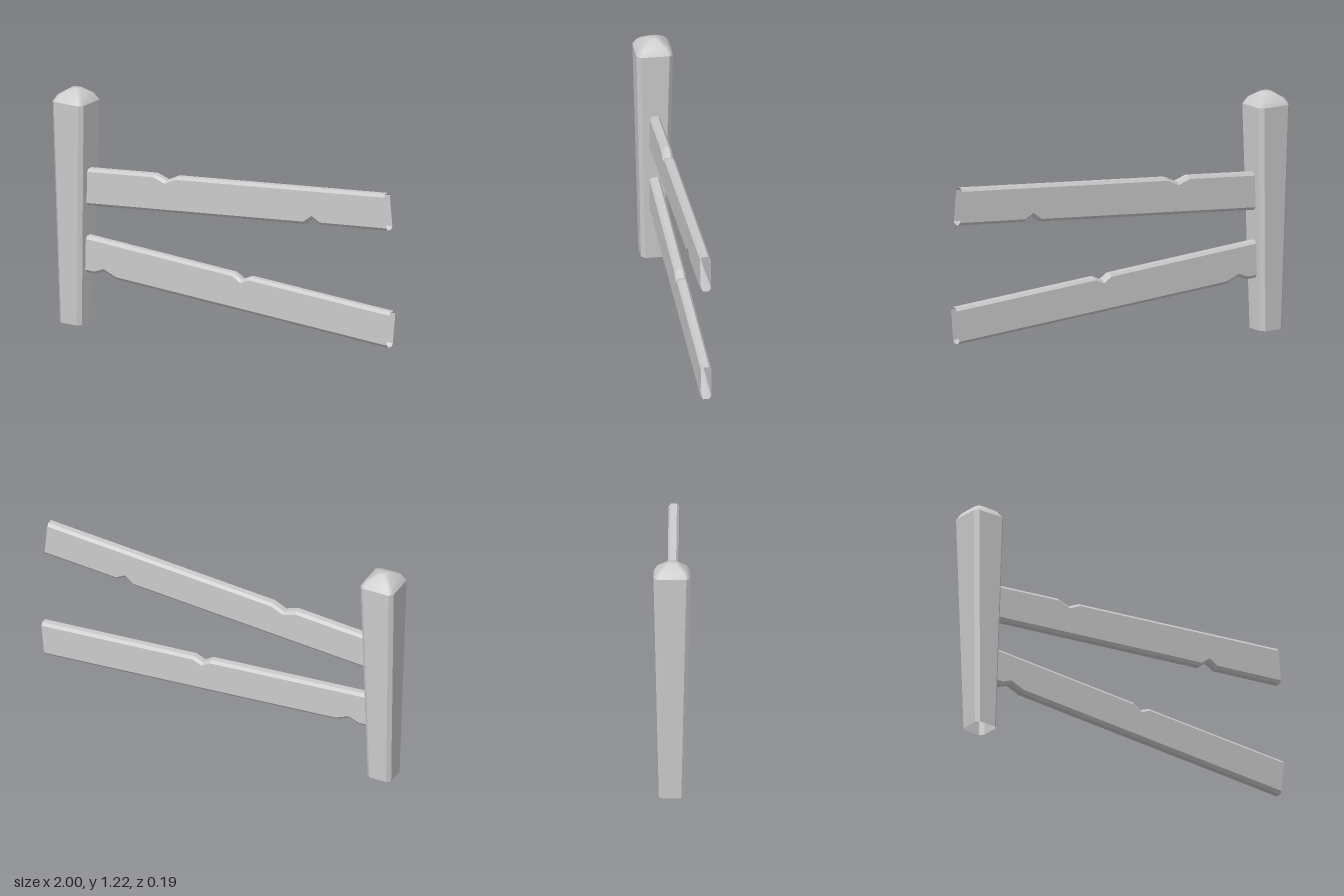
import * as THREE from 'three';

const flat = new THREE.MeshStandardMaterial({ color: 0xcccccc, flatShading: true, side: THREE.DoubleSide });
const smooth = new THREE.MeshStandardMaterial({ color: 0xcccccc, side: THREE.DoubleSide });

// Skin a list of closed rings, leaving both ends open
function loft(rings) {
  const n = rings[0].length, index = [];
  for (let i = 0; i < rings.length - 1; i++) {
    for (let j = 0; j < n; j++) {
      const a = i * n + j, b = i * n + (j + 1) % n;
      index.push(a, a + n, b, b, a + n, b + n);
    }
  }
  const geometry = new THREE.BufferGeometry();
  geometry.setAttribute('position', new THREE.Float32BufferAttribute(rings.flat(2), 3));
  geometry.setIndex(index);
  geometry.computeVertexNormals();
  return geometry;
}

// Square ring with cut corners: h is the half width, f the half width of each flat
function postRing(y, h, f) {
  return [[h, -f], [h, f], [f, h], [-f, h], [-h, f], [-h, -f], [-f, -h], [f, -h]]
    .map(([x, z]) => [x, y, z]);
}

// Height of a polyline at x
function heightAt(line, x) {
  for (let i = 1; i < line.length; i++) {
    const [x0, y0] = line[i - 1], [x1, y1] = line[i];
    if (x <= x1 + 1e-6) return y0 + (y1 - y0) * (x - x0) / (x1 - x0);
  }
  return line[line.length - 1][1];
}

// Bevelled hollow plank between a top and a bottom edge line
function plankGeometry(top, bottom) {
  const span = line => [line[0][0], line[line.length - 1][0] - line[0][0]];
  const fractions = line => line.map(p => (p[0] - span(line)[0]) / span(line)[1]);
  const stations = [...new Set([...fractions(top), ...fractions(bottom)])].sort((a, b) => a - b);
  const w = 0.027, v = 0.015, bevel = 0.015;
  return loft(stations.map(t => {
    const [xt, xb] = [top, bottom].map(line => span(line)[0] + t * span(line)[1]);
    const yt = heightAt(top, xt), yb = heightAt(bottom, xb);
    return [
      [xb, yb + bevel, w], [xt, yt - bevel, w], [xt, yt, v], [xt, yt, -v],
      [xt, yt - bevel, -w], [xb, yb + bevel, -w], [xb, yb, -v], [xb, yb, v],
    ];
  }));
}

export function createModel() {
  const model = new THREE.Group();
  const add = (name, geometry, material) => {
    const mesh = new THREE.Mesh(geometry, material);
    mesh.name = name;
    model.add(mesh);
    return mesh;
  };

  // Tapered post, wider at the top, with a rounded cap
  const postX = -0.907;
  add('post', loft([postRing(0, 0.066, 0.047), postRing(1.157, 0.093, 0.073)]), flat).position.x = postX;
  add('postCap', loft([
    postRing(1.157, 0.093, 0.073),
    postRing(1.19, 0.073, 0.055),
    postRing(1.222, 0.025, 0.015),
    postRing(1.223, 0, 0),
  ]), smooth).position.x = postX;

  // Sloping planks with chipped edges
  add('upperPlank', plankGeometry(
    [[-0.83, 0.815], [-0.425, 0.85], [-0.355, 0.827], [-0.29, 0.858], [0.967, 0.965]],
    [[-0.83, 0.622], [0.48, 0.732], [0.53, 0.77], [0.58, 0.743], [0.982, 0.776]],
  ), flat);
  add('lowerPlank', plankGeometry(
    [[-0.84, 0.464], [0.055, 0.408], [0.1, 0.38], [0.15, 0.402], [1, 0.352]],
    [[-0.84, 0.272], [-0.78, 0.27], [-0.725, 0.292], [-0.65, 0.262], [0.985, 0.163]],
  ), flat);

  return model;
}
